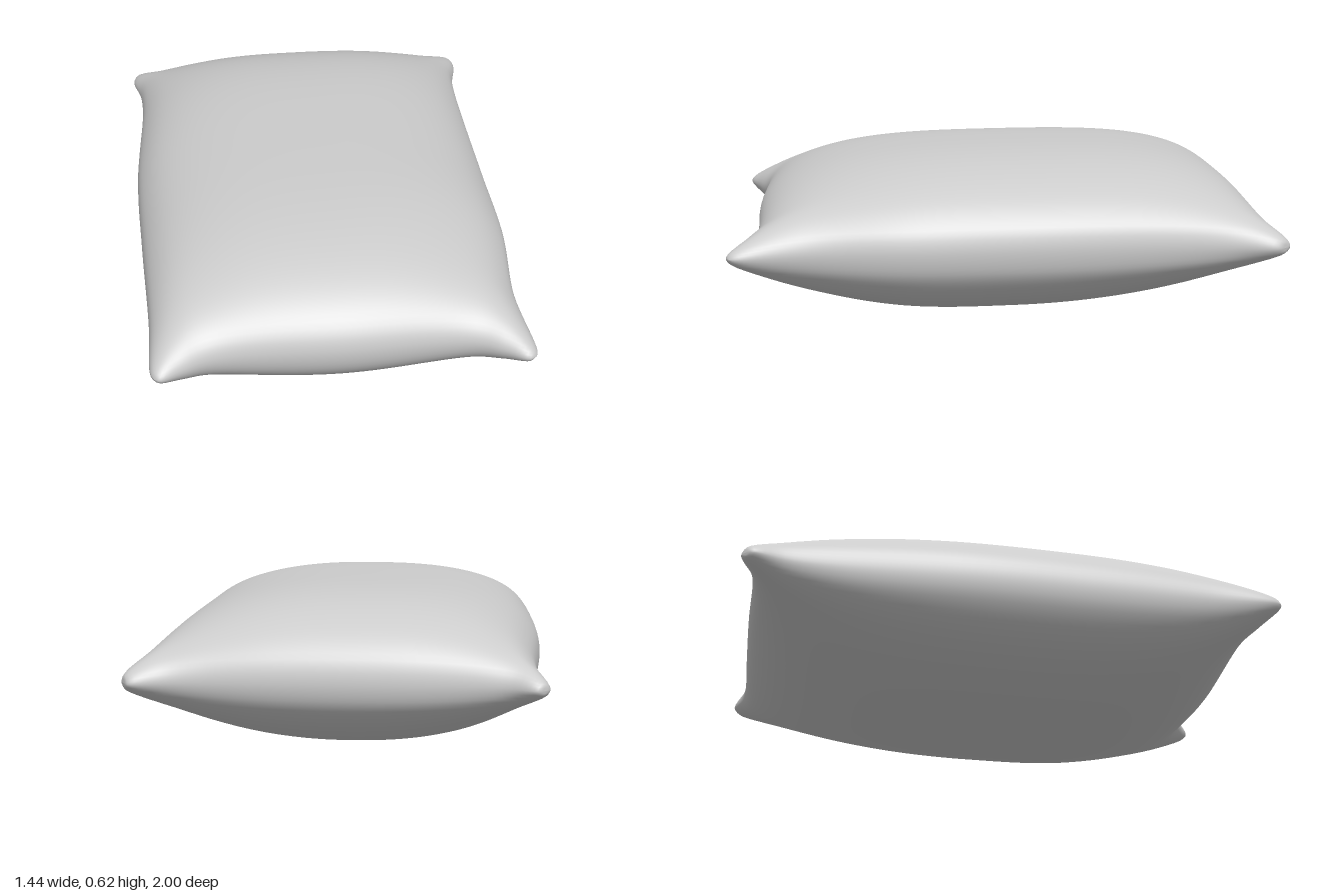
import * as THREE from 'three';
import { mergeGeometries, mergeVertices } from 'three/addons/utils/BufferGeometryUtils.js';

const SEGMENTS = 56;
const SEAM_Y = 0.335;

// Seam outline in plan (x, z); the four curves share their corner points
const edge = (pts) => new THREE.CatmullRomCurve3(pts.map(([x, z]) => new THREE.Vector3(x, 0, z)));
const backLeft = [-0.705, -0.977], backRight = [0.7, -0.977];
const frontLeft = [-0.65, 0.975], frontRight = [0.665, 0.988];
const back = edge([backLeft, [-0.683, -0.99], [-0.59, -0.955], [-0.5, -0.947], [-0.2, -0.955], [0.2, -0.957],
  [0.46, -0.957], [0.56, -0.967], [0.677, -1], backRight]);
const front = edge([frontLeft, [-0.63, 0.985], [-0.55, 0.95], [-0.45, 0.912], [0, 0.917], [0.46, 0.912],
  [0.56, 0.955], [0.64, 1], frontRight]);
const left = edge([backLeft, [-0.722, -0.955], [-0.694, -0.84], [-0.684, -0.68], [-0.705, -0.17],
  [-0.69, 0.25], [-0.667, 0.7], [-0.663, 0.95], frontLeft]);
const right = edge([backRight, [0.715, -0.945], [0.685, -0.8], [0.672, -0.6], [0.675, 0],
  [0.68, 0.35], [0.65, 0.7], [0.674, 0.965], frontRight]);

// Fullness exponents for each half: higher is boxier
const TOP = { height: 0.28, left: 2.8, right: 2.35, back: 3.8, front: 3.1 };
const BOTTOM = { height: -0.335, left: 2.2, right: 2.1, back: 2.05, front: 2.8 };

const bulge = (t, power) => Math.sqrt(Math.max(0, 1 - Math.abs(t) ** power));

function cushionHalf(half) {
  const geometry = new THREE.PlaneGeometry(2, 2, SEGMENTS, SEGMENTS);
  geometry.deleteAttribute('uv');
  geometry.deleteAttribute('normal');
  const pos = geometry.attributes.position;

  // Rows crowd towards the seam so that it stays round
  const ease = (t) => Math.sin(t * Math.PI / 2);
  for (let i = 0; i < pos.count; i++) {
    const u = ease(pos.getX(i)), v = ease(-pos.getY(i));
    const s = (u + 1) / 2, t = (v + 1) / 2;
    const b = back.getPointAt(s), f = front.getPointAt(s);
    const l = left.getPointAt(t), r = right.getPointAt(t);
    // Blend the four edges across the inside
    const blend = (axis, k) => (1 - t) * b[axis] + t * f[axis] + (1 - s) * l[axis] + s * r[axis]
      - (1 - t) * ((1 - s) * backLeft[k] + s * backRight[k])
      - t * ((1 - s) * frontLeft[k] + s * frontRight[k]);
    const y = SEAM_Y + half.height
      * bulge(u, u < 0 ? half.left : half.right)
      * bulge(v, v < 0 ? half.back : half.front);
    pos.setXYZ(i, blend('x', 0), y, blend('z', 1));
  }
  // The underside faces down
  if (half.height < 0) geometry.index.array.reverse();
  return geometry;
}

export function createModel() {
  const group = new THREE.Group();
  group.name = 'pillow';
  // Weld both halves along the seam for smooth shading
  const geometry = mergeVertices(mergeGeometries([cushionHalf(TOP), cushionHalf(BOTTOM)]), 1e-5);
  geometry.computeVertexNormals();
  const cushion = new THREE.Mesh(geometry, new THREE.MeshStandardMaterial({ color: 0xcccccc }));
  cushion.name = 'cushion';
  group.add(cushion);
  return group;
}
